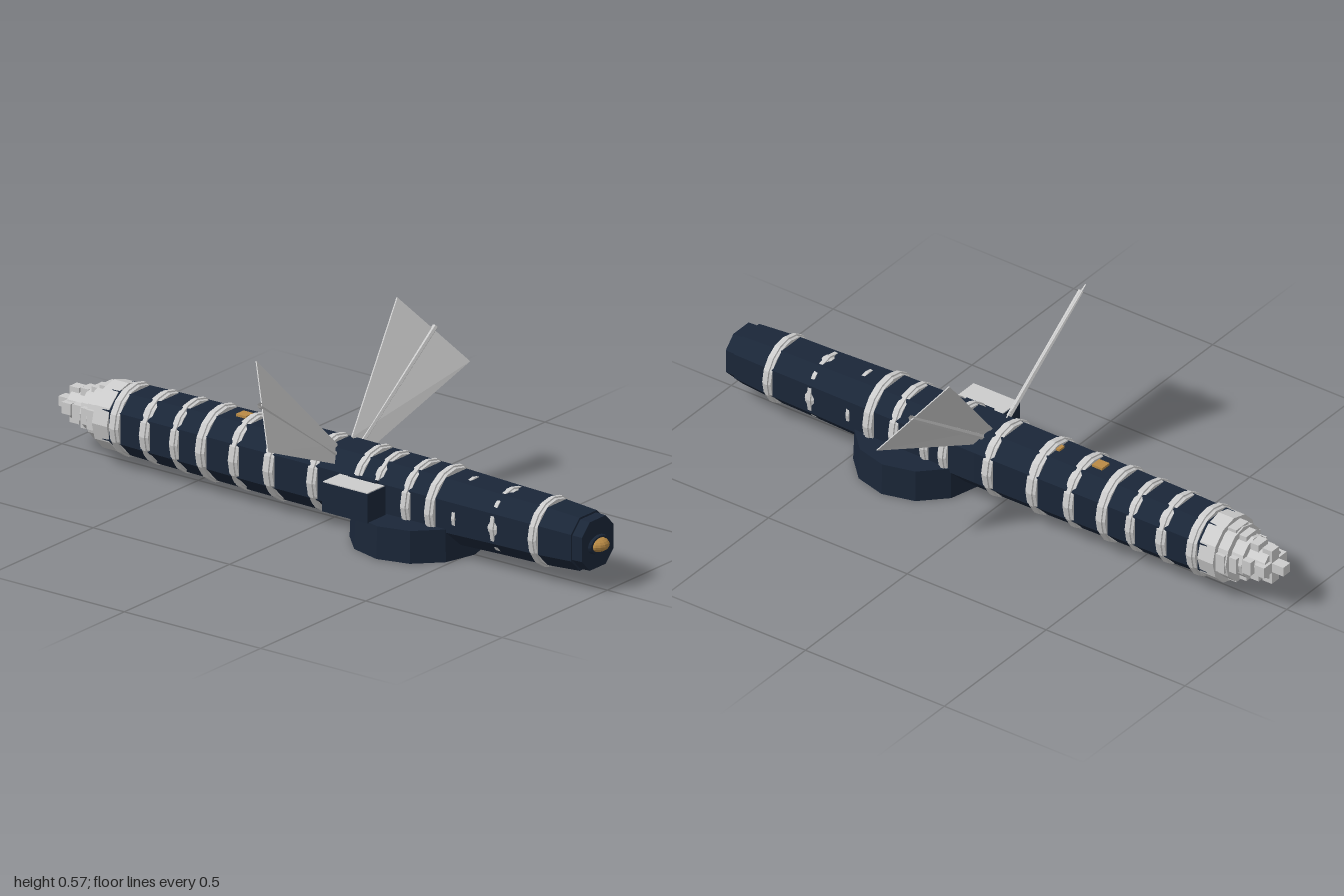
import * as THREE from 'three';

const mat = (color) => new THREE.MeshStandardMaterial({ color, flatShading: true, side: THREE.DoubleSide });
const CY = 0.138; // height of the long axis

// Loft of eight-sided sections [z, half width], capped at both ends
function octagonLoft(sections) {
  const pos = [], idx = [];
  for (const [z, a] of sections) {
    const c = a * 0.5;
    for (const [x, y] of [[a, -c], [a, c], [c, a], [-c, a], [-a, c], [-a, -c], [-c, -a], [c, -a]])
      pos.push(x, CY + y, z);
  }
  const last = (sections.length - 1) * 8;
  for (let s = 0; s < last; s += 8)
    for (let i = 0; i < 8; i++) {
      const j = (i + 1) % 8;
      idx.push(s + i, s + j, s + 8 + i, s + j, s + 8 + j, s + 8 + i);
    }
  for (let i = 1; i < 7; i++) {
    idx.push(0, i + 1, i);
    idx.push(last, last + i, last + i + 1);
  }
  const g = new THREE.BufferGeometry();
  g.setAttribute('position', new THREE.Float32BufferAttribute(pos, 3));
  g.setIndex(idx);
  g.computeVertexNormals();
  return g;
}

export function createModel() {
  const root = new THREE.Group();
  const navy = mat(0x1a2638), grey = mat(0xcccccc), amber = mat(0xb98a45);

  const add = (name, geo, material, x = 0, y = 0, z = 0, parent = root) => {
    const m = new THREE.Mesh(geo, material);
    m.name = name;
    m.position.set(x, y, z);
    parent.add(m);
    return m;
  };
  const box = (name, w, h, d, material, x, y, z, parent) =>
    add(name, new THREE.BoxGeometry(w, h, d), material, x, y, z, parent);

  // Long hull, tapering to both ends
  add('hull', octagonLoft([[-0.78, 0.093], [-0.6, 0.097], [-0.2, 0.102], [0.05, 0.103],
    [0.4, 0.1], [0.65, 0.093], [0.8, 0.09], [0.93, 0.082]]), navy);
  add('noseBlock', octagonLoft([[0.9, 0.077], [0.965, 0.075]]), navy);

  // Nose lamp in a dark collar
  const collar = add('lampCollar', new THREE.TorusGeometry(0.038, 0.009, 6, 16), navy, 0, CY - 0.003, 0.965);
  collar.scale.y = 0.62;
  const lamp = add('noseLamp', new THREE.SphereGeometry(0.035, 14, 10), amber, 0, CY - 0.003, 0.965);
  lamp.scale.y = 0.62;

  // Hoops around the hull: [z, outer radius, half width]
  const hoops = [[0.8, 0.107, 0.015], [0.65, 0.101, 0.016], [0.51, 0.101, 0.014], [0.43, 0.119, 0.016],
    [0.34, 0.117, 0.015], [0.23, 0.116, 0.015], [0.16, 0.12, 0.015], [0, 0.12, 0.017],
    [-0.16, 0.12, 0.018], [-0.29, 0.117, 0.017], [-0.41, 0.118, 0.017], [-0.51, 0.114, 0.015],
    [-0.62, 0.112, 0.017], [-0.73, 0.112, 0.017]];
  for (const [z, r, w] of hoops) {
    const profile = [[r - 0.025, -w], [r - 0.006, -w], [r - 0.004, -w * 0.5], [r, -w * 0.4],
      [r, w * 0.4], [r - 0.004, w * 0.5], [r - 0.006, w], [r - 0.025, w]]
      .map(([a, b]) => new THREE.Vector2(a, b));
    const g = new THREE.LatheGeometry(profile, 16);
    g.rotateX(Math.PI / 2);
    add('hoop', g, grey, 0, CY, z);
  }

  // Twelve-sided foot under the front half
  const foot = new THREE.CylinderGeometry(0.2, 0.204, 0.1, 12);
  add('foot', foot, navy, 0, 0.05, 0.31);

  // Side box with a pale lid
  box('sideBox', 0.085, 0.09, 0.168, navy, -0.152, 0.143, 0.187);
  box('sideBoxLid', 0.08, 0.004, 0.163, grey, -0.152, 0.189, 0.187);
  box('sideBoxMount', 0.03, 0.09, 0.1, navy, -0.1, 0.15, 0.187);

  // Small lights along the back
  box('topLight', 0.036, 0.012, 0.036, amber, 0, CY + 0.102, -0.33);
  box('topLight', 0.025, 0.014, 0.012, amber, 0, CY + 0.102, -0.185);

  // Pair of flat flared fins, each with a stiffening rod
  for (const s of [1, -1]) {
    const fin = new THREE.Group();
    fin.name = s > 0 ? 'leftFin' : 'rightFin';
    const corners = [[0.035, 0.245, 0.035], [0.075, 0.2, 0.065], [0.48, 0.37, 0.125], [0.335, 0.575, -0.03]];
    const pos = [];
    for (const dz of [0.002, -0.002])
      for (const [x, y, z] of corners) pos.push(s * x, y, z + dz);
    const idx = [0, 1, 2, 0, 2, 3, 4, 6, 5, 4, 7, 6];
    for (let i = 0; i < 4; i++) {
      const j = (i + 1) % 4;
      idx.push(i, i + 4, j, j, i + 4, j + 4);
    }
    if (s < 0) idx.reverse();
    const g = new THREE.BufferGeometry();
    g.setAttribute('position', new THREE.Float32BufferAttribute(pos, 3));
    g.setIndex(idx);
    g.computeVertexNormals();
    add('finPlate', g, grey, 0, 0, 0, fin);
    const path = new THREE.LineCurve3(new THREE.Vector3(s * 0.05, 0.215, 0.05), new THREE.Vector3(s * 0.417, 0.479, 0.047));
    add('finRod', new THREE.TubeGeometry(path, 1, 0.009, 6), grey, 0, 0, 0, fin);
    root.add(fin);
  }

  // Stepped tail machinery: drum, crossed blocks and a final rod
  const tail = new THREE.Group();
  tail.name = 'tail';
  tail.position.y = CY;
  root.add(tail);
  const drum = (r, z0, z1) => {
    const g = new THREE.CylinderGeometry(r, r, z0 - z1, 12);
    g.rotateX(Math.PI / 2);
    add('tailDrum', g, grey, 0, 0, (z0 + z1) / 2, tail);
  };
  drum(0.105, -0.755, -0.81);
  drum(0.088, -0.8, -0.845);
  drum(0.066, -0.83, -0.885);
  drum(0.045, -0.87, -0.95);
  for (const [half, width, z, depth] of [[0.09, 0.06, -0.825, 0.03], [0.076, 0.05, -0.86, 0.025],
    [0.062, 0.045, -0.9, 0.03], [0.056, 0.035, -0.942, 0.034]]) {
    box('tailBlock', half * 2, width, depth, grey, 0, 0, z, tail);
    box('tailBlock', width, half * 2, depth, grey, 0, 0, z, tail);
  }
  box('tailRod', 0.034, 0.03, 0.06, grey, 0, 0, -0.97, tail);

  return root;
}
